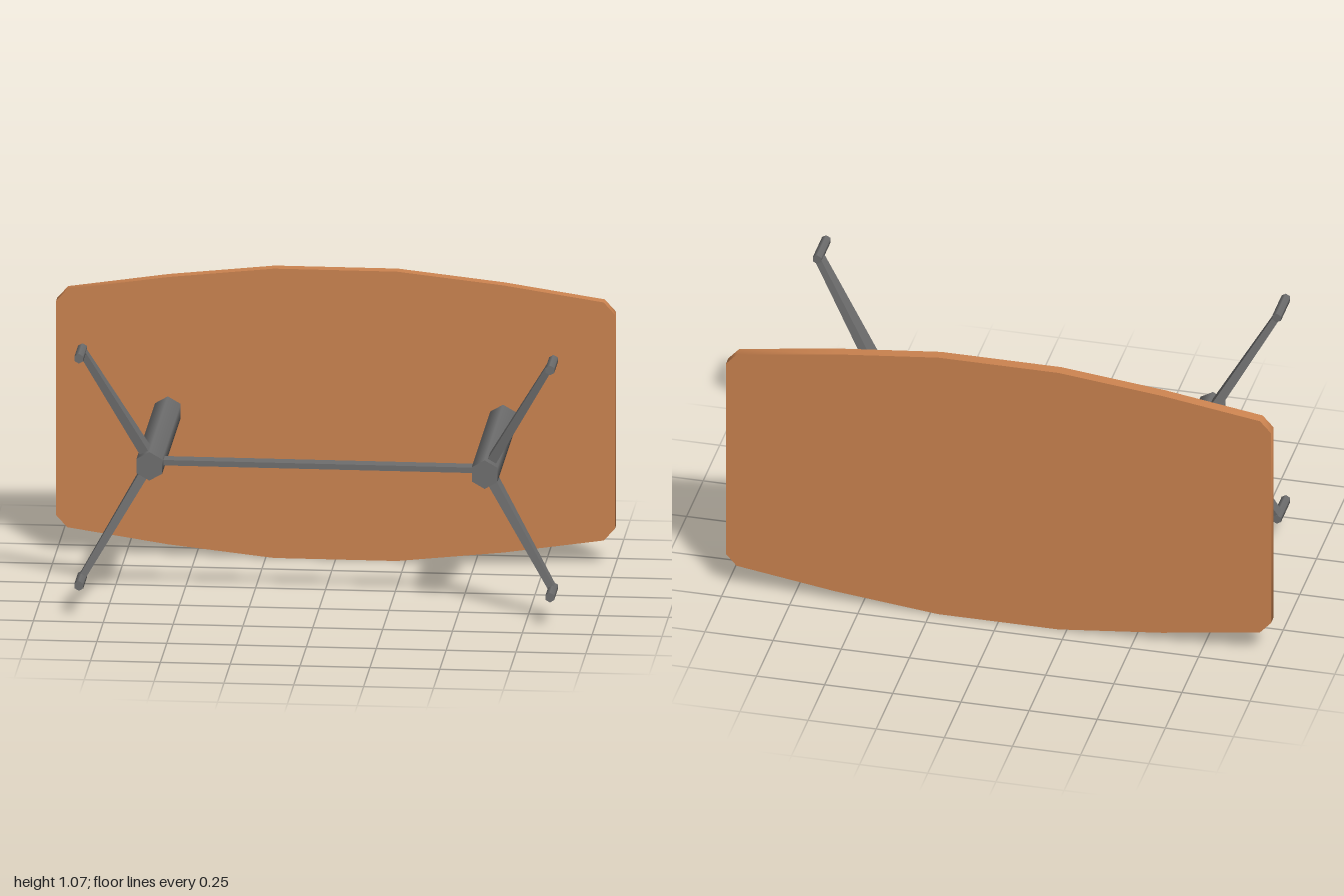
import * as THREE from 'three';
import { toCreasedNormals } from 'three/addons/utils/BufferGeometryUtils.js';

const MID = 0.537; // height of the table's long axis
const COLUMN_X = 0.6;
const LEG_ANGLE = Math.PI / 3;

const wood = new THREE.MeshStandardMaterial({ color: 0xcd8450 });
wood.name = 'wood';
const metal = new THREE.MeshStandardMaterial({ color: 0x6f6f6f });
metal.name = 'greyMetal';

function add(parent, name, geometry, material, x = 0, y = 0, z = 0) {
  const mesh = new THREE.Mesh(geometry, material);
  mesh.name = name;
  mesh.position.set(x, y, z);
  parent.add(mesh);
  return mesh;
}

// Hexagonal rod along z, from z0 to z1, points up and down
function hexRod(radius, z0, z1) {
  return new THREE.CylinderGeometry(radius, radius, z1 - z0, 6)
    .rotateX(Math.PI / 2)
    .translate(0, 0, (z0 + z1) / 2);
}

// Tapered blade along +x, narrowing and sloping towards +z at its outer end
function legGeometry() {
  const geo = new THREE.BoxGeometry(1, 1, 1);
  const p = geo.attributes.position;
  for (let i = 0; i < p.count; i++) {
    const outer = p.getX(i) > 0;
    const high = p.getZ(i) > 0;
    const z = outer ? (high ? 0.342 : 0.298) : (high ? 0.295 : 0.217);
    p.setXYZ(i, outer ? 0.482 : 0.025, p.getY(i) * (outer ? 0.024 : 0.034), z);
  }
  const flat = geo.toNonIndexed();
  flat.computeVertexNormals();
  return flat;
}

// Boat-shaped top with clipped corners
function topGeometry() {
  const quarter = [[1, 0.397], [0.96, 0.441], [0.6, 0.495], [0.22, 0.536]];
  const upper = [...quarter, ...quarter.map(([x, y]) => [-x, y]).reverse()];
  const outline = [...upper, ...upper.map(([x, y]) => [-x, -y])];
  const shape = new THREE.Shape(outline.map(([x, y]) => new THREE.Vector2(x, y)));
  const geo = new THREE.ExtrudeGeometry(shape, { depth: 0.041, bevelEnabled: false });
  return toCreasedNormals(geo, 0.9);
}

export function createModel() {
  const table = new THREE.Group();
  table.name = 'tableOnItsSide';

  add(table, 'tableTop', topGeometry(), wood, 0, MID, -0.436);
  add(table, 'crossBar', new THREE.BoxGeometry(1.2, 0.02, 0.052), metal, 0, MID, 0.257);

  const leg = legGeometry();
  const column = hexRod(0.053, -0.396, 0.335);
  const foot = hexRod(0.018, 0.295, 0.436);
  const reach = 0.486;

  // Each pedestal has a column and two splayed legs with feet
  for (const side of [1, -1]) {
    const pedestal = new THREE.Group();
    pedestal.name = side > 0 ? 'leftPedestal' : 'rightPedestal';
    pedestal.position.set(side * COLUMN_X, MID, 0);
    add(pedestal, 'column', column, metal);
    for (const up of [1, -1]) {
      const dx = side * Math.cos(LEG_ANGLE);
      const dy = up * Math.sin(LEG_ANGLE);
      add(pedestal, 'leg', leg, metal).rotation.z = Math.atan2(dy, dx);
      add(pedestal, 'foot', foot, metal, dx * reach, dy * reach);
    }
    table.add(pedestal);
  }
  return table;
}
